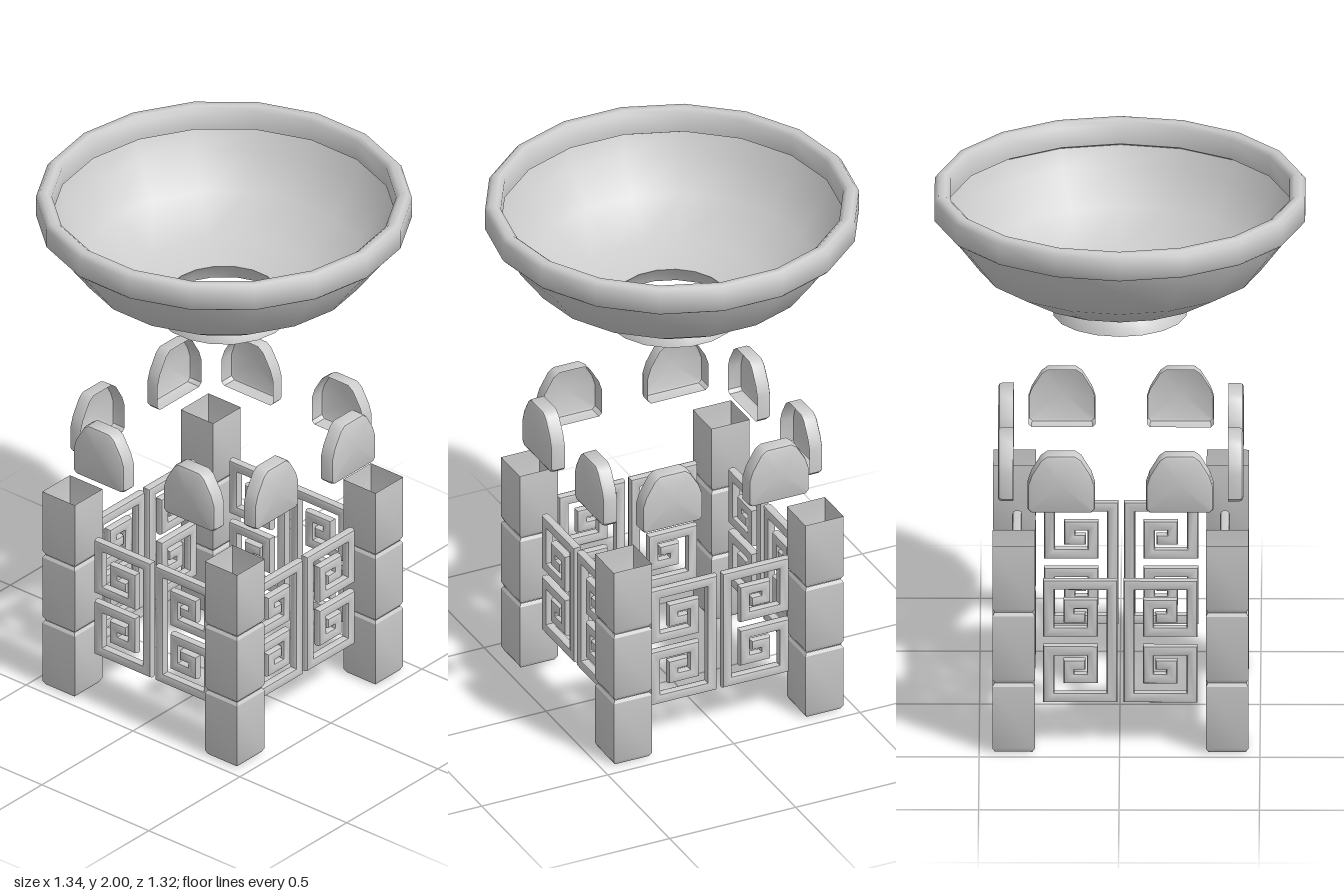
import * as THREE from 'three';
import { toCreasedNormals } from 'three/addons/utils/BufferGeometryUtils.js';

const material = new THREE.MeshStandardMaterial({ color: 0xcccccc, side: THREE.DoubleSide });

function mesh(name, geometry, crease = 0.6) {
  const m = new THREE.Mesh(toCreasedNormals(geometry, crease), material);
  m.name = name;
  return m;
}

const points = list => list.map(([x, y]) => new THREE.Vector2(x, y));

function lathe(name, profile, segments, start, crease) {
  return mesh(name, new THREE.LatheGeometry(points(profile), segments, start), crease);
}

// Open square tube of three stacked blocks, slightly pinched at the joints
function makePost() {
  const post = new THREE.Group();
  post.name = 'cornerPost';
  const levels = [0.005, 0.27, 0.54, 0.8];
  const h = 0.0755 * Math.SQRT2;
  for (let i = 0; i < 3; i++) {
    const [a, b] = [levels[i], levels[i + 1]];
    const top = i === 2 ? h : h - 0.01;
    post.add(lathe('postBlock', [[h - 0.012, a], [h, a + 0.016], [h, b - 0.012], [top, b]], 4, Math.PI / 4, 0.5));
  }
  return post;
}

// Mitred right-angle band along a centre line, extruded with a rounded edge
function band(path, width) {
  const bevel = 0.012;
  const half = width / 2 - bevel;
  const left = [], right = [];
  const dir = (a, b) => new THREE.Vector2().subVectors(b, a).normalize();
  path.forEach((p, i) => {
    const d1 = i > 0 ? dir(path[i - 1], p) : null;
    const d2 = i < path.length - 1 ? dir(p, path[i + 1]) : null;
    const n = new THREE.Vector2();
    for (const d of [d1, d2]) if (d) n.add(new THREE.Vector2(-d.y, d.x));
    n.multiplyScalar(half);
    left.push(p.clone().add(n));
    right.unshift(p.clone().sub(n));
  });
  const geometry = new THREE.ExtrudeGeometry(new THREE.Shape([...left, ...right]), {
    depth: 0.012, bevelEnabled: true, bevelSize: bevel, bevelThickness: bevel, bevelSegments: 2,
  });
  return geometry.translate(0, 0, -0.006);
}

// Fret panel: two mirrored square spirals joined by an upright
function makeFret(side) {
  const midY = 0.403;
  const spiral = [[0.03, 0.619], [0.255, 0.619], [0.255, 0.439], [0.1, 0.439],
    [0.1, 0.546], [0.183, 0.546], [0.183, 0.493], [0.137, 0.493]];
  const lower = spiral.map(([x, y]) => [x, 2 * midY - y]).reverse();
  const path = points([...lower, ...spiral].map(([x, y]) => [x * side, y]));
  return mesh('fretPanel', band(path, 0.04), 0.7);
}

// Arched pad, hollow and open at the back
function makePad() {
  const outline = [[0.108, -0.11], [0.12, -0.098], [0.12, -0.005], [0.107, 0.035], [0.072, 0.094], [0.05, 0.11]];
  const loop = [...outline, ...outline.map(([x, y]) => [-x, y]).reverse()];
  const n = loop.length;
  const rings = [[1, 0], [1, 0.04], [0.97, 0.051], [0.9, 0.055], [0, 0.055]];
  const position = [], index = [];
  for (const [s, z] of rings) for (const [x, y] of loop) position.push(x * s, y * s, z);
  for (let r = 0; r < rings.length - 1; r++) {
    for (let i = 0; i < n; i++) {
      const a = r * n + i, b = r * n + (i + 1) % n;
      index.push(a, b, b + n);
      if (r < rings.length - 2) index.push(a, b + n, a + n);
    }
  }
  const geometry = new THREE.BufferGeometry();
  geometry.setAttribute('position', new THREE.Float32BufferAttribute(position, 3));
  geometry.setIndex(index);
  return mesh('archedPad', geometry, 0.7);
}

export function createModel() {
  const model = new THREE.Group();
  model.name = 'ornamentalBowlStand';

  // Bowl shell, foot and rim share 18 sides
  const bowl = new THREE.Group();
  bowl.name = 'bowl';
  bowl.add(
    lathe('bowlShell', [[0.2, 1.583], [0.35, 1.615], [0.51, 1.71], [0.6, 1.83], [0.633, 1.905]], 18, Math.PI / 2, 0.8),
    lathe('bowlFoot', [[0.24, 1.515], [0.225, 1.553], [0.2, 1.583]], 18, Math.PI / 2, 0.8),
    lathe('bowlRim', [[0.63, 1.9], [0.663, 1.9], [0.67, 1.908], [0.67, 1.982], [0.655, 2], [0.63, 2],
      [0.613, 1.985], [0.613, 1.91], [0.63, 1.9]], 18, Math.PI / 2, 0.9),
  );
  model.add(bowl);

  // Four identical sides, each with a post, two frets and two pads
  const stand = new THREE.Group();
  stand.name = 'stand';
  for (let k = 0; k < 4; k++) {
    const side = new THREE.Group();
    side.name = 'standSide';
    side.rotation.y = k * Math.PI / 2;
    const post = makePost();
    post.position.set(0.38, 0, 0.38);
    side.add(post);
    for (const s of [-1, 1]) {
      const fret = makeFret(s);
      fret.position.set(0, 0, 0.37);
      const pad = makePad();
      pad.position.set(s * 0.211, 1.026, 0.382);
      side.add(fret, pad);
    }
    stand.add(side);
  }
  stand.position.set(-0.003, 0, 0.003);
  model.add(stand);
  return model;
}
